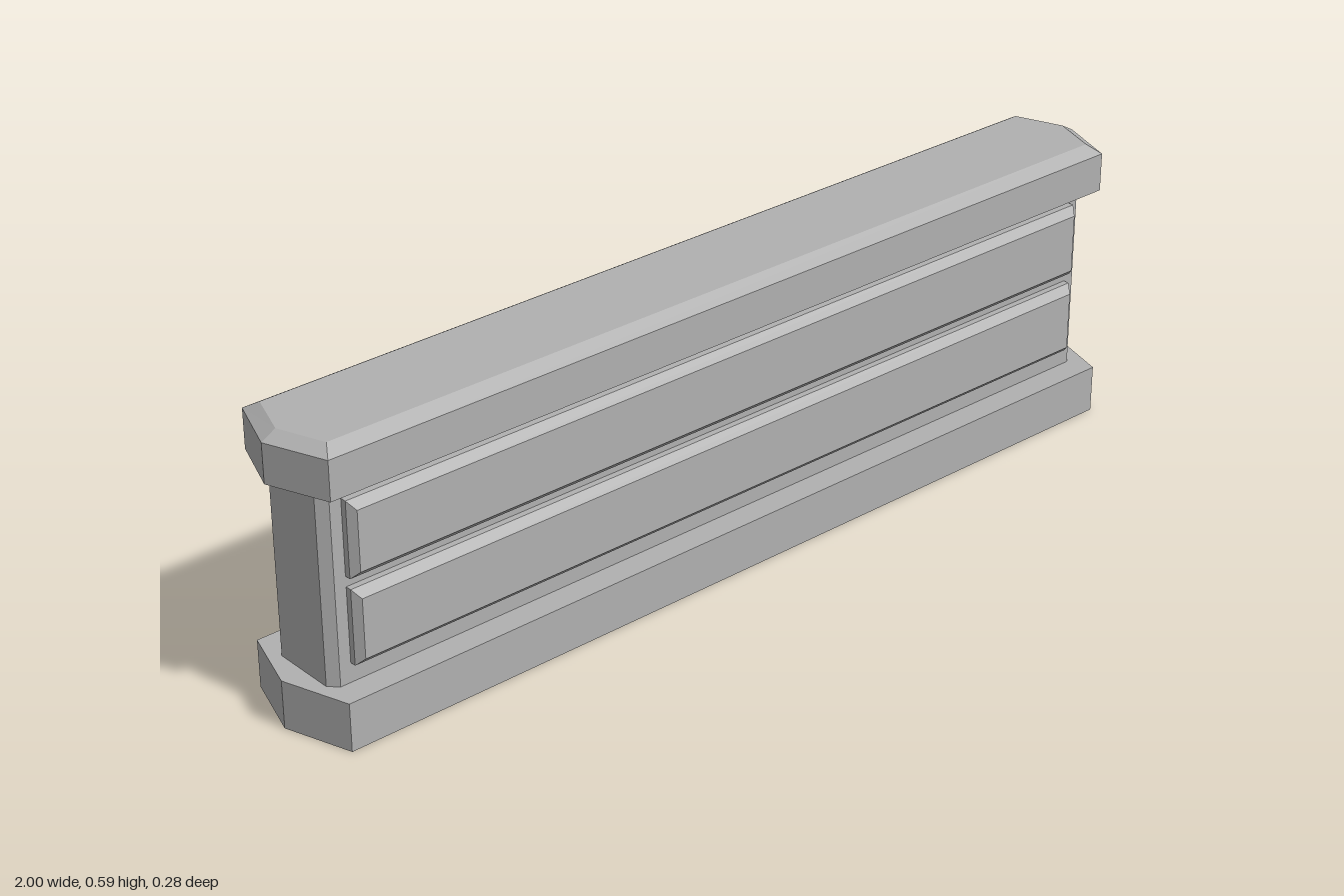
import * as THREE from 'three';

// Joins horizontal rings of [x, z] points at given heights into a closed solid
function loft(rings) {
  const pos = [];
  const at = (r, i) => {
    const [x, z] = r.points[i % r.points.length];
    return [x, r.y, z];
  };
  const n = rings[0].points.length;
  for (let k = 0; k < rings.length - 1; k++) {
    const lo = rings[k], hi = rings[k + 1];
    for (let i = 0; i < n; i++) {
      const a = at(lo, i), b = at(lo, i + 1), c = at(hi, i + 1), d = at(hi, i);
      pos.push(...a, ...b, ...c, ...a, ...c, ...d);
    }
  }
  const bottom = rings[0], top = rings[rings.length - 1];
  for (let i = 1; i < n - 1; i++) {
    pos.push(...at(bottom, 0), ...at(bottom, i + 1), ...at(bottom, i));
    pos.push(...at(top, 0), ...at(top, i), ...at(top, i + 1));
  }
  const g = new THREE.BufferGeometry();
  g.setAttribute('position', new THREE.Float32BufferAttribute(pos, 3));
  g.computeVertexNormals();
  return g;
}

// Outlines, counter-clockwise seen from above
const hexagon = (tip, x, z) => [[tip, 0], [x, -z], [-x, -z], [-tip, 0], [-x, z], [x, z]];
const rectangle = (x, z) => [[x, z], [x, -z], [-x, -z], [-x, z]];
const chamfered = (x, z, c) => [
  [x, z - c], [x, -z + c], [x - c, -z], [-x + c, -z],
  [-x, -z + c], [-x, z - c], [-x + c, z], [x - c, z],
];

export function createModel() {
  const model = new THREE.Group();
  model.name = 'barrier';
  const stone = new THREE.MeshStandardMaterial({ color: 0xb0b0b0, flatShading: true });
  stone.name = 'grey stone';

  const add = (name, geometry) => {
    const mesh = new THREE.Mesh(geometry, stone);
    mesh.name = name;
    model.add(mesh);
    return mesh;
  };

  // Pointed foot slab
  const foot = hexagon(0.995, 0.95, 0.139);
  add('base', loft([{ y: 0, points: foot }, { y: 0.099, points: foot }]));

  // Wall core with chamfered corners
  const core = chamfered(0.947, 0.085, 0.018);
  add('wall', loft([{ y: 0.09, points: core }, { y: 0.5, points: core }]));

  // Pointed coping with a bevelled top
  const coping = hexagon(1, 0.953, 0.125);
  add('cap', loft([
    { y: 0.495, points: coping },
    { y: 0.575, points: coping },
    { y: 0.592, points: hexagon(0.97, 0.935, 0.097) },
  ]));

  // Two raised bevelled panels on each face
  const panel = loft([
    { y: 0.08, points: rectangle(0.905, 0.077) },
    { y: 0.098, points: rectangle(0.905, 0.077) },
    { y: 0.114, points: rectangle(0.893, 0.061) },
  ]);
  for (const side of [1, -1]) {
    for (const [level, y] of [['lower', 0.216], ['upper', 0.391]]) {
      const mesh = add(`${level}${side > 0 ? 'Front' : 'Back'}Panel`, panel);
      mesh.rotation.x = side * Math.PI / 2;
      mesh.position.y = y;
    }
  }
  return model;
}
